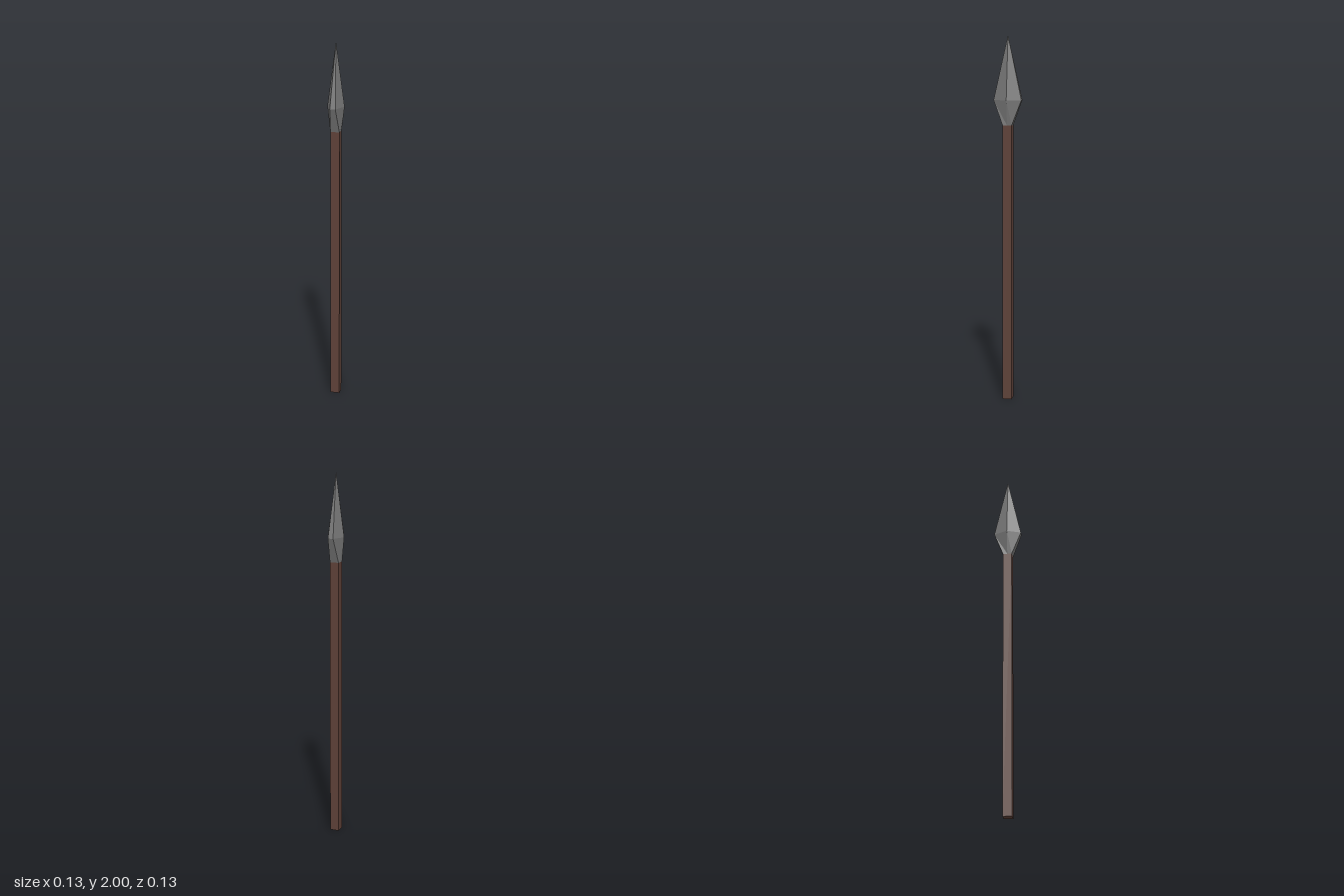
import * as THREE from 'three';

const BASE_Y = 1.52, WIDE_Y = 1.655, TIP_Y = 2, R = 0.035;

// Half of each six-point section as [x, z]; the other half is its point mirror.
const mirrored = (half) => [...half, ...half.map(([x, z]) => [-x, -z])];
const baseRing = mirrored([[0, -R], [R, 0], [R / 2, R / 2]]);
const wideRing = mirrored([[0.043, -0.064], [0.064, -0.043], [0.033, 0.033]]);

// Spearhead: base section flares to the wide section, then runs to a point.
function headGeometry() {
  const positions = [];
  const at = (ring, i, y) => {
    const [x, z] = ring[i % ring.length];
    return [x, y, z];
  };
  const tip = [0, TIP_Y, 0];
  for (let i = 0; i < 6; i++) {
    const b0 = at(baseRing, i, BASE_Y), b1 = at(baseRing, i + 1, BASE_Y);
    const w0 = at(wideRing, i, WIDE_Y), w1 = at(wideRing, i + 1, WIDE_Y);
    positions.push(...b0, ...w0, ...w1, ...b0, ...w1, ...b1, ...w0, ...tip, ...w1);
  }
  const geometry = new THREE.BufferGeometry();
  geometry.setAttribute('position', new THREE.Float32BufferAttribute(positions, 3));
  geometry.computeVertexNormals();
  return geometry;
}

export function createModel() {
  const group = new THREE.Group();
  group.name = 'spear';

  // Square shaft with its corners on the x and z axes
  const shaft = new THREE.Mesh(
    new THREE.CylinderGeometry(R, R, BASE_Y, 4),
    new THREE.MeshStandardMaterial({ color: 0x5d4037, flatShading: true })
  );
  shaft.name = 'shaft';
  shaft.position.y = BASE_Y / 2;

  const head = new THREE.Mesh(
    headGeometry(),
    new THREE.MeshStandardMaterial({ color: 0x757575, flatShading: true, side: THREE.DoubleSide })
  );
  head.name = 'spearhead';

  group.add(shaft, head);
  return group;
}
